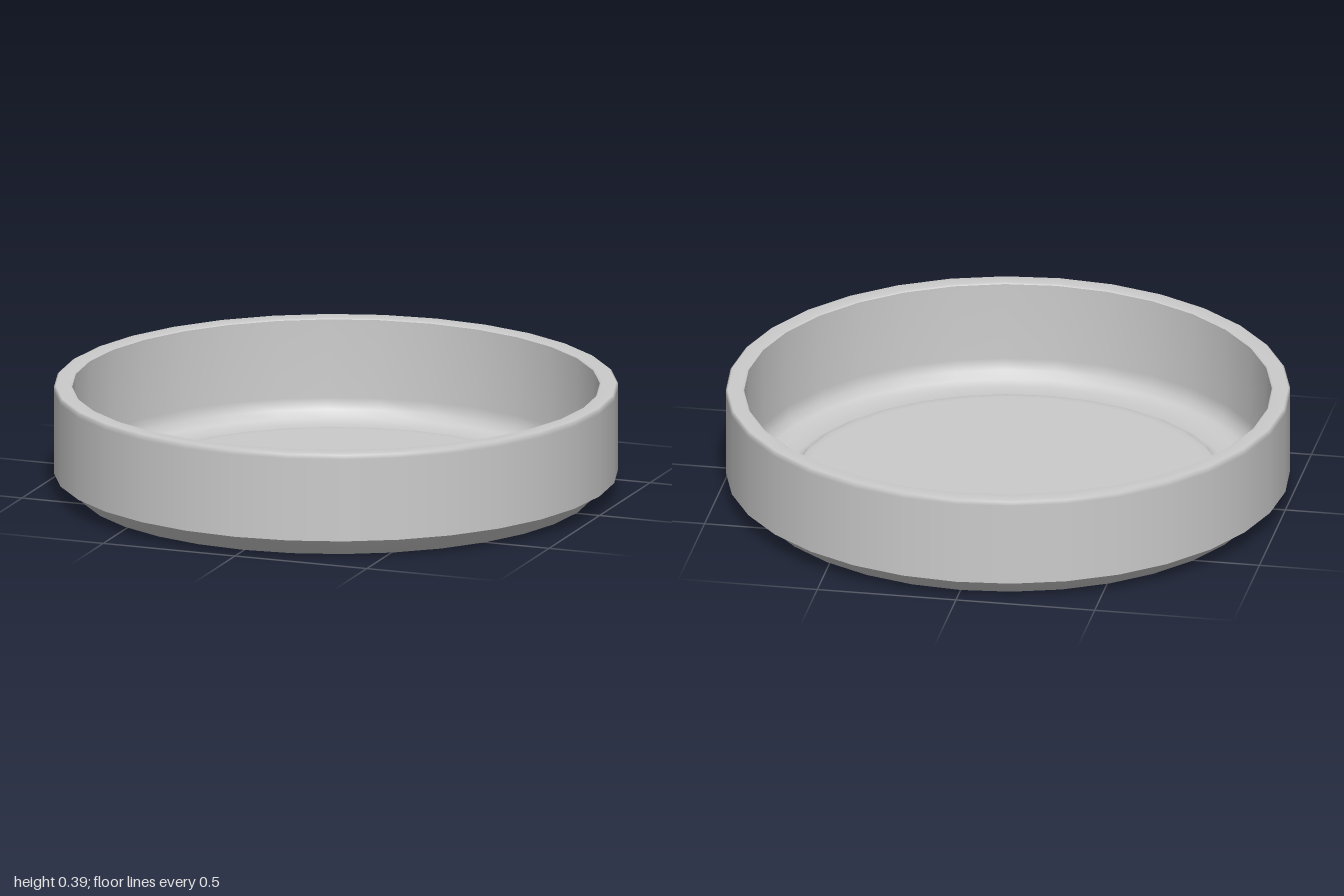
import * as THREE from 'three';

const SEGMENTS = 32;

export function createModel() {
  const group = new THREE.Group();
  group.name = 'shallowDish';
  const material = new THREE.MeshStandardMaterial({ color: 0xcccccc });

  // Revolve a list of [radius, height] pairs around the vertical axis
  function addRing(name, profile) {
    const points = profile.map(([r, y]) => new THREE.Vector2(r, y));
    const mesh = new THREE.Mesh(new THREE.LatheGeometry(points, SEGMENTS), material);
    mesh.name = name;
    group.add(mesh);
  }

  // Recessed panel and foot ring beneath the dish
  addRing('undersidePanel', [[0, 0.025], [0.725, 0.025], [0.748, 0.022]]);
  addRing('footRing', [[0.748, 0.022], [0.765, 0], [0.9, 0], [0.915, 0.002], [0.97, 0.07]]);

  // Small ledge where the wall overhangs the foot
  addRing('wallLedge', [[0.97, 0.07], [1, 0.07]]);

  // Upright wall with a softly shaded rim
  addRing('outerWall', [[1, 0.07], [1, 0.37], [1, 0.385], [0.993, 0.39], [0.942, 0.39], [0.935, 0.385]]);

  // Inner wall curving into the channel and up to the raised floor
  addRing('innerWallAndChannel', [
    [0.935, 0.385], [0.935, 0.37], [0.932, 0.1], [0.922, 0.06],
    [0.9, 0.033], [0.865, 0.02], [0.8, 0.017], [0.775, 0.022], [0.76, 0.036],
  ]);

  // Raised floor with a narrow rounded edge
  addRing('floorPanel', [[0.76, 0.036], [0.745, 0.04], [0.72, 0.041], [0, 0.041]]);

  return group;
}
